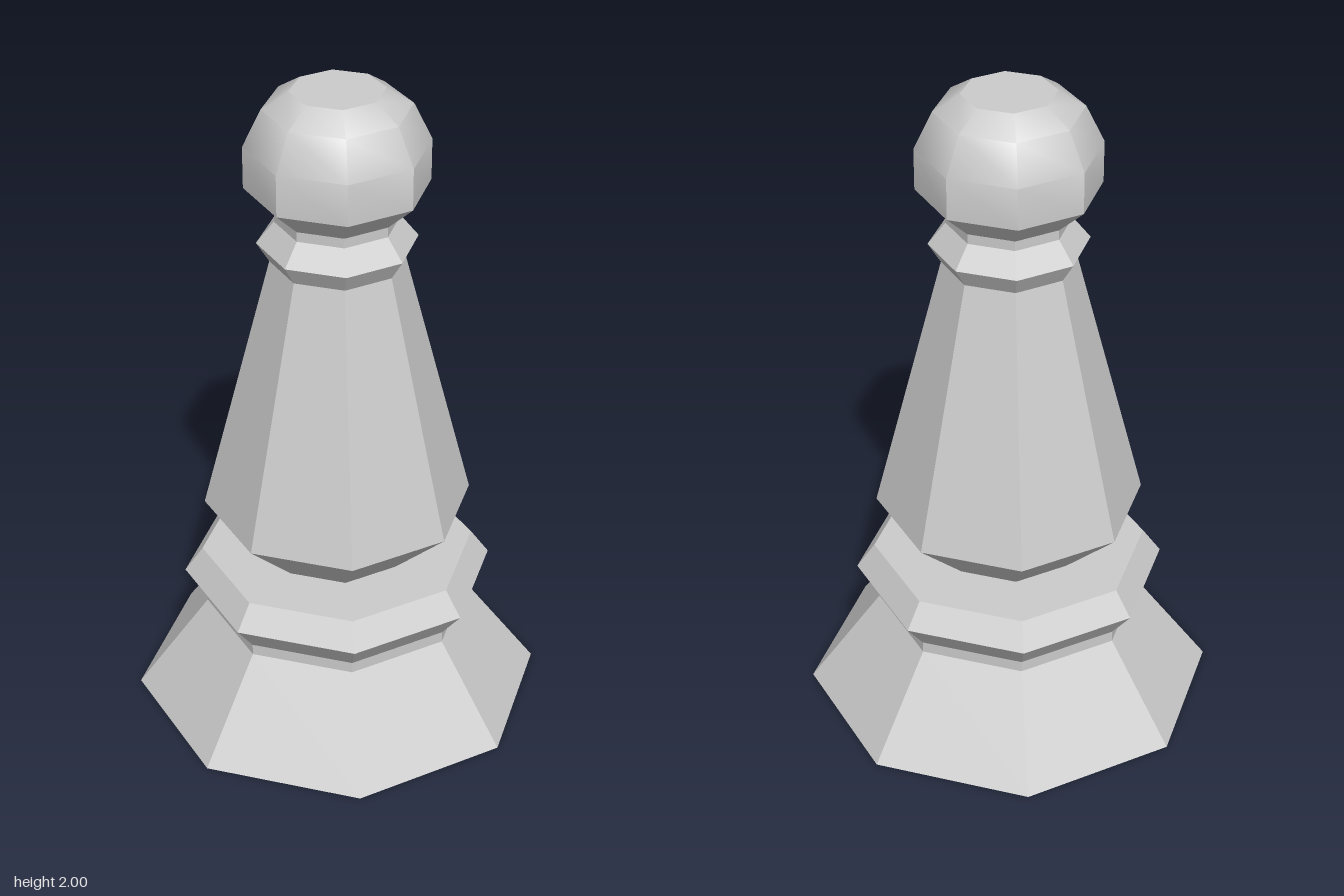
import * as THREE from 'three';
import { toCreasedNormals } from 'three/addons/utils/BufferGeometryUtils.js';

const SIDES = 8;

// Eight-sided turned part from [radius, height] pairs, listed bottom to top.
// Edges sharper than the crease angle (degrees) stay hard.
function turned(name, profile, material, crease = 1) {
  const points = profile.map(([r, y]) => new THREE.Vector2(r, y));
  const lathe = new THREE.LatheGeometry(points, SIDES);
  const geometry = toCreasedNormals(lathe, THREE.MathUtils.degToRad(crease));
  const mesh = new THREE.Mesh(geometry, material);
  mesh.name = name;
  return mesh;
}

export function createModel() {
  const group = new THREE.Group();
  group.name = 'pawn';
  const grey = new THREE.MeshStandardMaterial({ color: 0xcccccc });

  group.add(
    // Flared foot, closed underneath
    turned('foot', [[0, 0], [0.625, 0], [0.405, 0.3], [0.405, 0.335]], grey),
    // Bevelled ring with a flat top
    turned('baseRing', [[0.405, 0.335], [0.47, 0.42], [0.415, 0.497], [0.225, 0.497]], grey),
    // Tapering body
    turned('body', [[0.225, 0.497], [0.403, 0.67], [0.195, 1.48]], grey),
    // Collar and short neck
    turned('collar', [[0.195, 1.48], [0.232, 1.54], [0.18, 1.605], [0.18, 1.635]], grey),
    // Underside of the head
    turned('headUnderside', [[0.18, 1.635], [0.265, 1.715]], grey),
    // Softly shaded dome
    turned('head', [[0.265, 1.715], [0.265, 1.84], [0.212, 1.95], [0.135, 2]], grey, 42),
    // Flat cap
    turned('headCap', [[0.135, 2], [0, 2]], grey),
  );
  return group;
}
